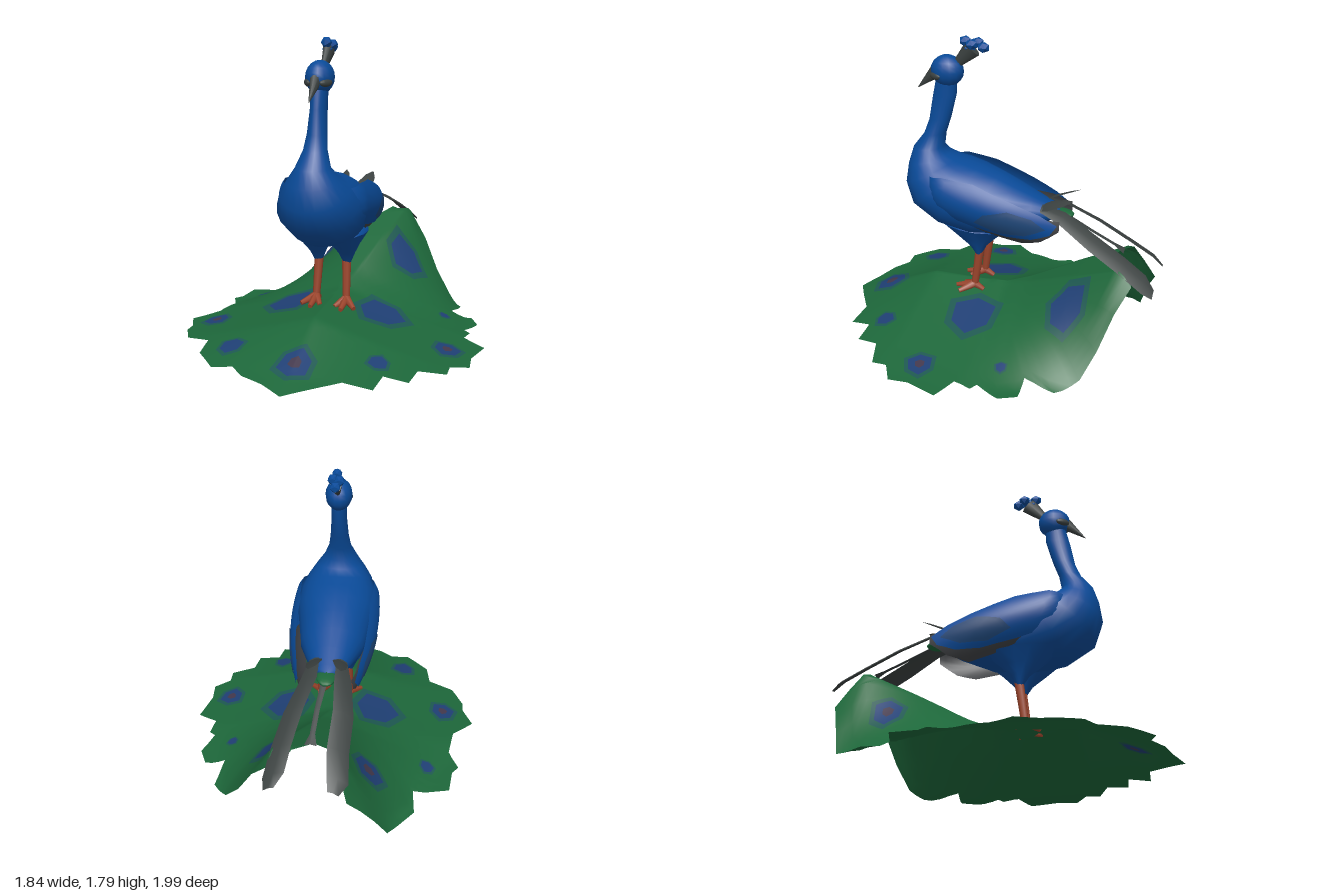
import * as THREE from 'three';

const mat = (name, color) => {
  const m = new THREE.MeshStandardMaterial({ color, side: THREE.DoubleSide });
  m.name = name;
  return m;
};
const M = {
  blue: mat('peacock blue', 0x094a98),
  green: mat('train green', 0x1d673a),
  grey: mat('feather grey', 0x3b4140),
  brown: mat('wing edge brown', 0x3f4144),
  slate: mat('wing slate blue', 0x1d4474),
  rust: mat('leg rust', 0x9c452c),
  ring: mat('spot ring teal', 0x1d5850),
  spot: mat('spot blue', 0x1f3f74),
  maroon: mat('spot maroon', 0x43384c),
};
const clamp = (v) => Math.min(1, Math.max(0, v));
const V = (x, y, z) => new THREE.Vector3(x, y, z);

function mesh(name, geo, material, parent) {
  const m = new THREE.Mesh(geo, material);
  m.name = name;
  parent.add(m);
  return m;
}
function build(points, index) {
  const g = new THREE.BufferGeometry().setFromPoints(points);
  g.setIndex(index);
  g.computeVertexNormals();
  return g;
}
// Linear interpolation in a table of [key, value], keys descending
function table(rows, k) {
  if (k >= rows[0][0]) return rows[0][1];
  for (let i = 1; i < rows.length; i++) {
    const [k1, v1] = rows[i], [k0, v0] = rows[i - 1];
    if (k >= k1) return v1 + (v0 - v1) * (k - k1) / (k0 - k1);
  }
  return rows[rows.length - 1][1];
}
// Fills a star-shaped 2D outline with rings and lifts each point by rule f(u, v)
function patch(outline, centre, rings, split, f) {
  const rim = [];
  outline.forEach((a, i) => {
    const b = outline[(i + 1) % outline.length];
    for (let s = 0; s < split; s++) rim.push([0, 1].map((k) => a[k] + (b[k] - a[k]) * s / split));
  });
  const n = rim.length, pts = [f(...centre)], idx = [];
  for (let r = 1; r <= rings; r++) {
    for (const p of rim) pts.push(f(...[0, 1].map((k) => centre[k] + (p[k] - centre[k]) * r / rings)));
  }
  for (let j = 0; j < n; j++) {
    const k = (j + 1) % n;
    idx.push(0, 1 + j, 1 + k);
    for (let r = 1; r < rings; r++) {
      const a = 1 + (r - 1) * n, b = 1 + r * n;
      idx.push(a + j, b + j, b + k, a + j, b + k, a + k);
    }
  }
  return build(pts, idx);
}
// Skins elliptical rings: [zBack, yBack, zFront, yFront, halfWidth]
function loft(rows, n, x = 0) {
  const pts = [], idx = [];
  rows.forEach(([zb, yb, zf, yf, w], i) => {
    for (let j = 0; j < n; j++) {
      const a = j / n * Math.PI * 2, c = Math.cos(a);
      pts.push(V(x + Math.sin(a) * w, (yb + yf + c * (yb - yf)) / 2, (zb + zf + c * (zb - zf)) / 2));
      if (i === rows.length - 1) continue;
      const A = i * n + j, B = i * n + (j + 1) % n;
      idx.push(A, B, A + n, B, B + n, A + n);
    }
  });
  return build(pts, idx);
}
// Ribbon feather with a raised quill and a sideways tilt: [x, y, z, halfWidth]
function feather(rows, tilt) {
  const pts = [], idx = [];
  rows.forEach(([x, y, z, w], i) => {
    pts.push(V(x - w, y + w * tilt, z), V(x, y + w * 0.25, z), V(x + w, y - w * tilt, z));
    if (!i) return;
    for (let j = 0; j < 2; j++) {
      const b = i * 3 + j, a = b - 3;
      idx.push(a, a + 1, b, a + 1, b + 1, b);
    }
  });
  return build(pts, idx);
}
function rod(name, a, b, ra, rb, material, parent, sides = 8) {
  const d = b.clone().sub(a);
  const m = mesh(name, new THREE.CylinderGeometry(rb, ra, d.length(), sides), material, parent);
  m.position.copy(a).addScaledVector(d, 0.5);
  m.quaternion.setFromUnitVectors(V(0, 1, 0), d.normalize());
  return m;
}
function blob(name, x, y, z, sx, sy, sz, material, parent) {
  const m = mesh(name, new THREE.SphereGeometry(1, 14, 10), material, parent);
  m.position.set(x, y, z);
  m.scale.set(sx, sy, sz);
  return m;
}

// Height of the draped train: a front ridge that climbs to a steep arch at the back
const RIDGE = [[1, 0], [0.85, 0.045], [0.7, 0.11], [0.45, 0.22], [0.1, 0.23], [-0.05, 0.245],
  [-0.2, 0.3], [-0.5, 0.45], [-0.8, 0.59], [-0.95, 0.44]];
function drape(x, z) {
  const s = clamp((-0.05 - z) / 0.75);
  const flat = 0.19 * s, wide = 0.92 - 0.43 * Math.pow(s, 0.75);
  const t = clamp((Math.abs(x - 0.085 * s) - flat) / (wide - flat));
  return 0.008 + table(RIDGE, z) * Math.pow(1 - t, 1.3 - 0.3 * s);
}
const TRAIN = [[0, 1], [0.13, 0.92], [0.28, 0.82], [0.45, 0.83], [0.47, 0.7], [0.61, 0.7], [0.63, 0.57],
  [0.78, 0.52], [0.78, 0.43], [0.88, 0.37], [0.87, 0.25], [0.92, 0.07], [0.79, 0], [0.81, -0.1],
  [0.77, -0.13], [0.83, -0.27], [0.78, -0.37], [0.65, -0.37], [0.68, -0.55], [0.58, -0.67], [0.28, -0.87],
  [0.2, -0.86], [0.04, -0.68], [-0.05, -0.75], [-0.17, -0.94], [-0.4, -0.83], [-0.55, -0.65],
  [-0.54, -0.5], [-0.76, -0.45], [-0.78, -0.3], [-0.82, -0.25], [-0.76, -0.13], [-0.79, 0.04],
  [-0.92, 0.17], [-0.86, 0.29], [-0.86, 0.36], [-0.79, 0.49], [-0.63, 0.54], [-0.61, 0.69],
  [-0.47, 0.83], [-0.35, 0.81], [-0.27, 0.88], [-0.13, 0.93]];

// Eye spots: [x, z, radius, has maroon heart, above or below the train]
const SPOTS = [[-0.28, 0.08, 0.2, 0, 1], [0.3, 0.08, 0.2, 0, 1], [-0.27, -0.6, 0.12, 1, 1], [0.31, -0.51, 0.15, 0, 1],
  [-0.62, -0.3, 0.06, 0, 1], [0.63, -0.22, 0.045, 0, 1], [-0.72, 0.23, 0.11, 1, 1], [0.73, 0.24, 0.11, 1, 1],
  [0, 0.77, 0.14, 1, 1], [-0.44, 0.63, 0.1, 0, 1], [0.42, 0.61, 0.08, 0, 1], [-0.05, 0.73, 0.1, 1, -1]];

function addTrain(root) {
  mesh('train', patch(TRAIN, [0, 0.05], 24, 3, (x, z) => V(x, drape(x, z), z)), M.green, root);
  SPOTS.forEach(([cx, cz, r, heart, face], i) => {
    const layers = [[1, M.ring, 'spotRing'], [0.74, M.spot, 'spotCentre']];
    if (heart) layers.push([0.3, M.maroon, 'spotHeart']);
    layers.forEach(([k, m, name], l) => {
      const line = [0, 1, 2, 3, 4, 5].map((j) => {
        const a = j * Math.PI / 3 + i, q = r * k * (j % 2 ? 1 : 0.88);
        return [cx + Math.cos(a) * q, cz + Math.sin(a) * q];
      });
      const lift = face * (0.006 + l * 0.003);
      mesh(name, patch(line, [cx, cz], 6, 4, (x, z) => V(x, drape(x, z) + lift, z)), m, root);
    });
  });
}

// Curved flank surface that the wings follow
function flank(side, lift) {
  return (z, y) => {
    const v = (y - 0.82 - 0.23 * z) / 0.14, f = Math.max(0, z - 0.3);
    return V(side * (0.27 + lift - 0.33 * (z - 0.15) ** 2 - 0.06 * v * v - 6 * f * f), y, z);
  };
}
const WING = [[0.43, 0.91], [0.4, 0.98], [0.3, 1], [0.1, 0.98], [-0.15, 0.89], [-0.3, 0.83], [-0.4, 0.77],
  [-0.36, 0.71], [-0.25, 0.67], [-0.1, 0.67], [0.1, 0.71], [0.28, 0.76], [0.39, 0.83]];
const WING_EDGE = [[0.2, 0.75], [0.12, 0.7], [-0.03, 0.645], [-0.18, 0.61], [-0.3, 0.65], [-0.41, 0.73],
  [-0.41, 0.79], [-0.28, 0.81], [0, 0.79]];
const WING_SPOT = [[0.08, 0.76], [0.02, 0.82], [-0.12, 0.85], [-0.26, 0.81], [-0.34, 0.75], [-0.22, 0.7], [-0.06, 0.7]];

function addSide(root, s) {
  const side = new THREE.Group();
  side.name = s > 0 ? 'leftSide' : 'rightSide';
  root.add(side);
  mesh('wing', patch(WING, [0.03, 0.83], 8, 2, flank(s, 0)), M.blue, side);
  mesh('wingEdge', patch(WING_EDGE, [-0.15, 0.72], 8, 2, flank(s, -0.01)), M.brown, side);
  mesh('wingPatch', patch(WING_SPOT, [-0.12, 0.77], 5, 2, flank(s, 0.006)), M.slate, side);
  // Thigh tapering out of the belly, then shin and toes
  mesh('thigh', loft([[-0.08, 0.66, 0.36, 0.68, 0.13], [0, 0.59, 0.25, 0.59, 0.08],
    [0.06, 0.53, 0.17, 0.53, 0.05], [0.09, 0.47, 0.13, 0.47, 0.025]], 14, s * 0.09), M.blue, side);
  rod('shin', V(s * 0.085, 0.54, 0.1), V(s * 0.095, 0.24, 0.14), 0.029, 0.022, M.rust, side);
  for (const [x, z] of [[0, 0.26], [0.07, 0.22], [-0.05, 0.22], [0, 0.08]]) {
    rod('toe', V(s * 0.095, 0.25, 0.14), V(s * (0.095 + x), 0.218, z), 0.026, 0.014, M.rust, side, 6);
  }
  // Tail feathers: one long and drooping, one short and raised
  const end = s > 0 ? 0.23 : -0.12;
  mesh('longTailFeather', feather([[s * 0.08, 0.83, -0.28, 0.03], [s * 0.1, 0.79, -0.42, 0.05],
    [s * 0.11 + (end - s * 0.1) * 0.4, 0.705, -0.6, 0.058], [end * 0.9, 0.605, -0.8, 0.06],
    [end, 0.525, -0.93, 0.06], [end + 0.02, 0.48, -0.99, 0.03]], s * 0.45), M.grey, side);
  mesh('shortTailFeather', feather([[s * 0.06, 0.81, -0.24, 0.02], [s * 0.075, 0.85, -0.33, 0.045],
    [s * 0.085, 0.885, -0.42, 0.03], [s * 0.09, 0.905, -0.47, 0.004]], s * 0.3), M.grey, side);
  // Dark face stripe beside the beak
  const cheek = blob('cheek', s * 0.053, 1.56, 0.385, 0.018, 0.022, 0.045, M.grey, side);
  cheek.rotation.y = -s * 0.5;
}

export function createModel() {
  const root = new THREE.Group();
  root.name = 'peacock';
  addTrain(root);

  mesh('bodyAndNeck', loft([[0.27, 1.6, 0.4, 1.53, 0.05], [0.275, 1.45, 0.425, 1.42, 0.045],
    [0.315, 1.3, 0.45, 1.28, 0.055], [0.35, 1.2, 0.485, 1.19, 0.068], [0.365, 1.11, 0.555, 1.1, 0.1],
    [0.33, 1.07, 0.585, 1, 0.15], [0.27, 1.05, 0.6, 0.88, 0.2], [0.2, 1.04, 0.55, 0.74, 0.24],
    [0.12, 1.02, 0.38, 0.63, 0.25], [0, 0.98, 0.18, 0.585, 0.22], [-0.1, 0.935, -0.05, 0.61, 0.19],
    [-0.22, 0.88, -0.25, 0.69, 0.13], [-0.33, 0.83, -0.37, 0.76, 0.07], [-0.37, 0.81, -0.38, 0.8, 0.005]], 22),
  M.blue, root);

  // Head and beak
  blob('head', 0, 1.585, 0.33, 0.08, 0.094, 0.1, M.blue, root);
  const beak = rod('beak', V(0, 1.575, 0.4), V(0, 1.465, 0.52), 0.042, 0.002, M.grey, root);
  beak.scale.x = 0.8;

  // Crest: a flaring stem topped by a fan of tufts
  const stem = rod('crestStem', V(0, 1.62, 0.28), V(0, 1.73, 0.17), 0.022, 0.055, M.grey, root);
  stem.scale.x = 0.6;
  for (const [x, y, z] of [[0, 1.768, 0.215], [0.02, 1.755, 0.17], [-0.02, 1.76, 0.145], [0, 1.738, 0.105], [0, 1.73, 0.19]]) {
    const tuft = mesh('crestTuft', new THREE.IcosahedronGeometry(0.032, 0), M.blue, root);
    tuft.position.set(x, y, z);
    tuft.scale.z = 1.2;
  }

  addSide(root, 1);
  addSide(root, -1);

  // Rump plumes
  blob('rumpPlume', 0, 0.78, -0.37, 0.06, 0.025, 0.09, M.green, root);
  mesh('middleTailFeather', feather([[0, 0.8, -0.36, 0.02], [0.03, 0.71, -0.58, 0.015],
    [0.04, 0.65, -0.72, 0.015], [0.045, 0.62, -0.78, 0.035]], 0), M.grey, root);
  return root;
}
